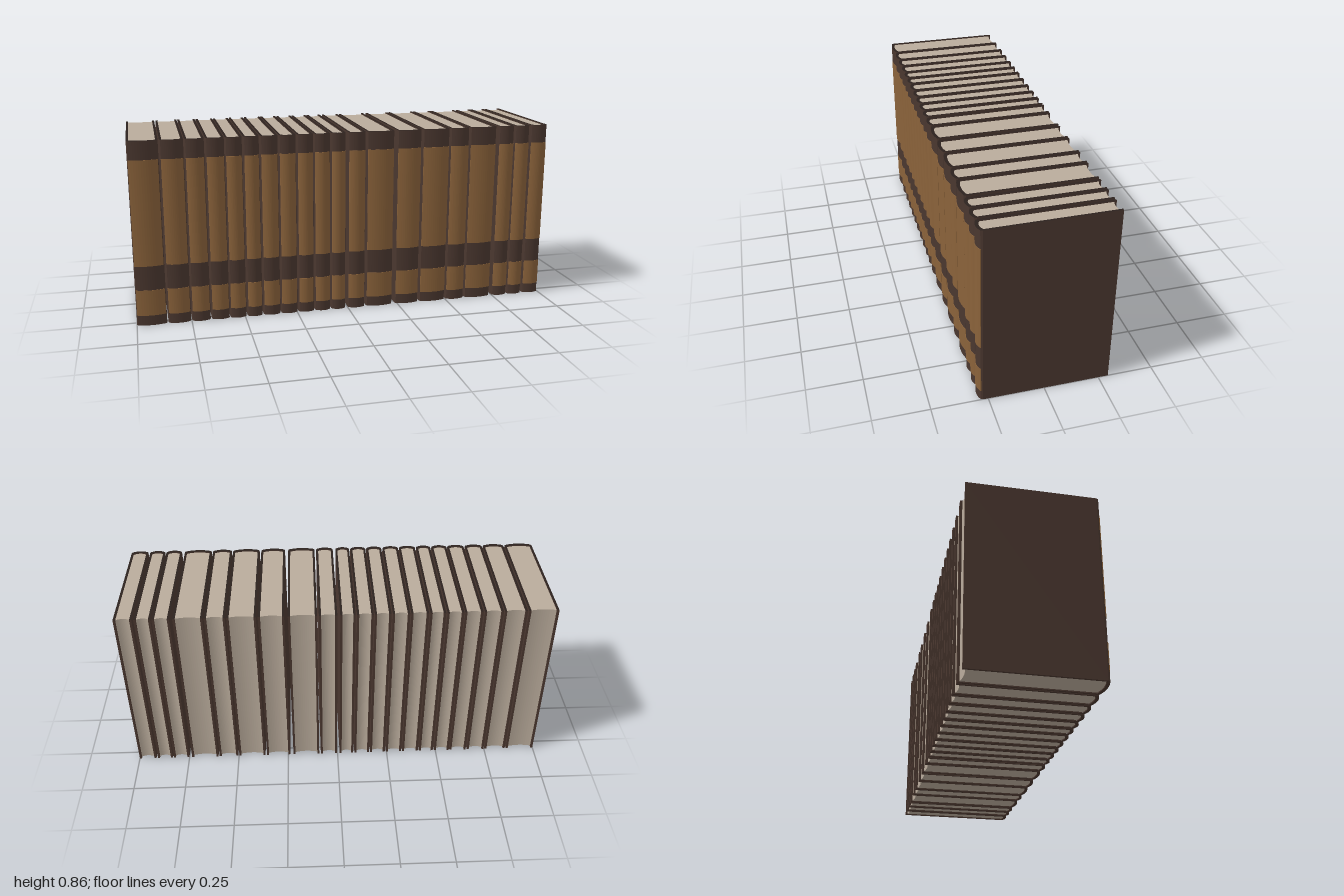
import * as THREE from 'three';

const HEIGHT = 0.86, BACK = -0.295, BOARD = 0.01;

// left and right edge of every book along the row
const BOOKS = [
  [-1, -0.863], [-0.857, -0.753], [-0.748, -0.662], [-0.656, -0.573], [-0.569, -0.493],
  [-0.487, -0.416], [-0.41, -0.33], [-0.325, -0.247], [-0.241, -0.166], [-0.161, -0.086],
  [-0.08, -0.011], [0.002, 0.085], [0.093, 0.224], [0.24, 0.358], [0.366, 0.498],
  [0.504, 0.598], [0.604, 0.737], [0.751, 0.829], [0.834, 0.909], [0.917, 1],
];

// heights of the tan panels on the spine
const PANELS = [[0.048, 0.17], [0.285, 0.775]];

const coverMat = new THREE.MeshStandardMaterial({ name: 'brown leather', color: 0x4a372f });
const edgeMat = new THREE.MeshStandardMaterial({ name: 'dark board edge', color: 0x2c221e });
const panelMat = new THREE.MeshStandardMaterial({ name: 'tan leather', color: 0x8a623a });
const pageMat = new THREE.MeshStandardMaterial({ name: 'paper', color: 0xb9ab9b });

// plan outlines are drawn in (x, z) and raised between two heights
function raise(shape, y0, y1) {
  const geo = new THREE.ExtrudeGeometry(shape, { depth: y1 - y0, bevelEnabled: false, curveSegments: 12 });
  return geo.rotateX(Math.PI / 2).translate(0, y1, 0);
}

function part(parent, name, geo, mat) {
  const mesh = new THREE.Mesh(geo, mat);
  mesh.name = name;
  parent.add(mesh);
}

// two boards joined by a rounded spine
function coverShape(w) {
  const s = new THREE.Shape();
  const i = w - BOARD;
  s.moveTo(-w, BACK);
  s.lineTo(-i, BACK);
  s.lineTo(-i, 0.268);
  s.quadraticCurveTo(0, 0.289, i, 0.268);
  s.lineTo(i, BACK);
  s.lineTo(w, BACK);
  s.lineTo(w, 0.273);
  s.lineTo(w - 0.004, 0.282);
  s.quadraticCurveTo(0, 0.304, -w + 0.004, 0.282);
  s.lineTo(-w, 0.273);
  s.closePath();
  return s;
}

// thin strip following the spine
function panelShape(w) {
  const s = new THREE.Shape();
  const e = w - 0.003;
  s.moveTo(-e, 0.28);
  s.quadraticCurveTo(0, 0.302, e, 0.28);
  s.lineTo(e, 0.2835);
  s.quadraticCurveTo(0, 0.3065, -e, 0.2835);
  s.closePath();
  return s;
}

// page block with a hollow fore edge
function pageShape(w) {
  const s = new THREE.Shape();
  const i = w - BOARD + 0.001;
  s.moveTo(-i, -0.286);
  s.quadraticCurveTo(0, -0.27, i, -0.286);
  s.lineTo(i, 0.269);
  s.quadraticCurveTo(0, 0.29, -i, 0.269);
  s.closePath();
  return s;
}

function makeBook(w) {
  const book = new THREE.Group();
  book.name = 'book';

  // the upper ends of the boards are darker than the leather
  const cover = raise(coverShape(w), 0, HEIGHT);
  const cap = cover.groups[0].count / 2;
  const total = cover.attributes.position.count;
  cover.clearGroups();
  cover.addGroup(0, cap, 0);
  cover.addGroup(cap, total - cap, 1);
  part(book, 'cover', cover, [edgeMat, coverMat]);

  part(book, 'pages', raise(pageShape(w), 0.005, HEIGHT - 0.005), pageMat);
  for (const [y0, y1] of PANELS) part(book, 'spinePanel', raise(panelShape(w), y0, y1), panelMat);
  return book;
}

export function createModel() {
  const row = new THREE.Group();
  row.name = 'bookRow';
  for (const [left, right] of BOOKS) {
    const book = makeBook((right - left) / 2);
    book.position.x = (left + right) / 2;
    row.add(book);
  }
  return row;
}
